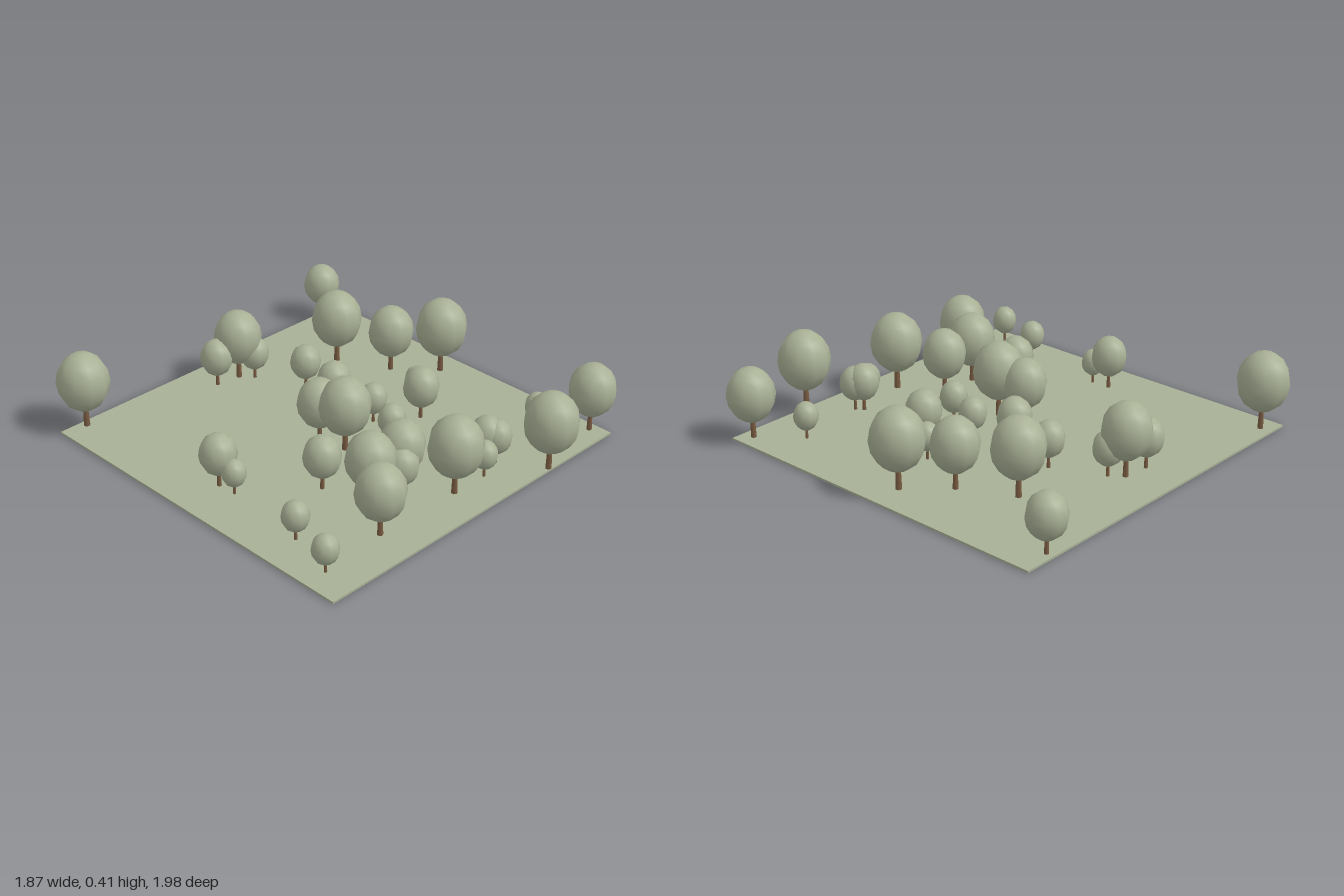
import * as THREE from 'three';

// each tree: x, z, crown radius
const TREES = [
  [-0.81, -0.88, 0.125], [0.74, -0.905, 0.092], [-0.13, -0.735, 0.08], [-0.005, -0.72, 0.117],
  [0.045, -0.66, 0.072], [0.155, -0.415, 0.075], [0.45, -0.5, 0.124], [0.575, -0.25, 0.112],
  [0.74, -0.07, 0.127], [0.11, -0.175, 0.083], [-0.705, -0.065, 0.087], [-0.7, 0.03, 0.057],
  [-0.13, -0.025, 0.105], [-0.105, 0.115, 0.122], [0.16, 0.035, 0.067], [0.45, 0.04, 0.059],
  [0.345, 0.165, 0.087], [0.085, 0.225, 0.067], [-0.4, 0.27, 0.088], [-0.745, 0.465, 0.063],
  [-0.325, 0.49, 0.115], [-0.13, 0.49, 0.107], [-0.19, 0.545, 0.08], [-0.47, 0.69, 0.115],
  [-0.815, 0.715, 0.061], [-0.015, 0.7, 0.127], [0.175, 0.705, 0.06], [0.275, 0.63, 0.077],
  [0.3, 0.665, 0.072], [0.665, 0.6, 0.059], [0.43, 0.865, 0.127], [0.82, 0.79, 0.113],
];

export function createModel() {
  const model = new THREE.Group();
  model.name = 'grove';
  const sage = new THREE.MeshStandardMaterial({ color: 0xa8b095 });
  sage.name = 'sage green';
  const bark = new THREE.MeshStandardMaterial({ color: 0x7a5c42 });
  bark.name = 'bark brown';

  // thin square of ground
  const ground = new THREE.Mesh(new THREE.BoxGeometry(1.805, 0.01, 1.8), sage);
  ground.name = 'ground';
  ground.position.set(-0.022, 0.005, -0.03);
  model.add(ground);

  // one unit tree, scaled by its crown radius
  const crownGeo = new THREE.SphereGeometry(1, 10, 8);
  crownGeo.scale(1, 1.17, 1);
  crownGeo.translate(0, 1.88, 0);
  const trunkGeo = new THREE.CylinderGeometry(0.085, 0.12, 1, 6);
  trunkGeo.translate(0, 0.5, 0);

  for (const [x, z, r] of TREES) {
    const tree = new THREE.Group();
    tree.name = 'tree';
    const crown = new THREE.Mesh(crownGeo, sage);
    crown.name = 'crown';
    const trunk = new THREE.Mesh(trunkGeo, bark);
    trunk.name = 'trunk';
    tree.add(trunk, crown);
    tree.position.set(x, 0.02, z);
    tree.scale.setScalar(r);
    model.add(tree);
  }
  return model;
}
